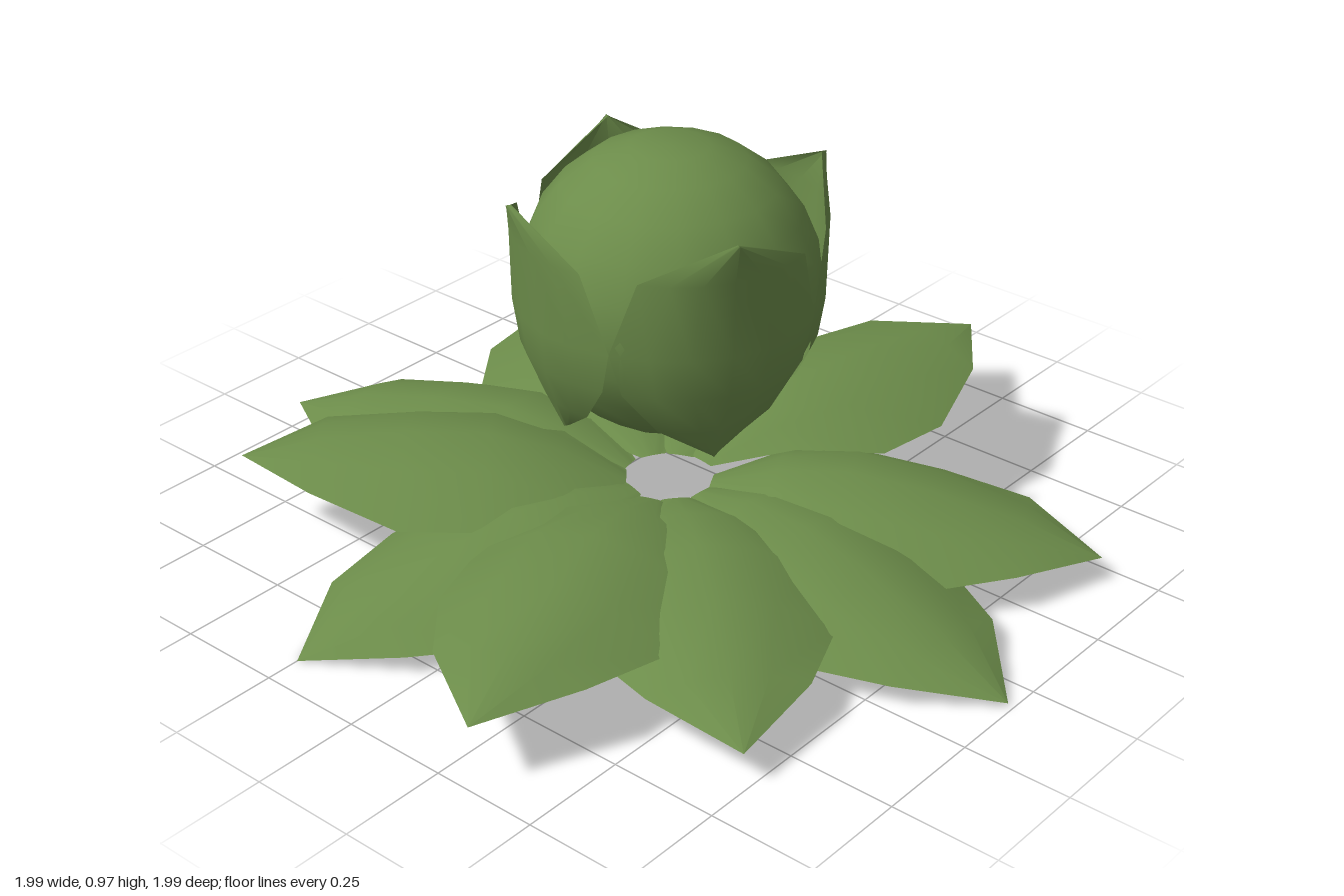
import * as THREE from 'three';

// Smooth open surface from rows of cross-sections; point(row, u) with u from -1 to 1
function sheet(rows, cols, point) {
  const pos = [], idx = [];
  rows.forEach((row) => {
    for (let j = 0; j <= cols; j++) pos.push(...point(row, (j / cols) * 2 - 1));
  });
  for (let i = 0; i < rows.length - 1; i++) {
    for (let j = 0; j < cols; j++) {
      const a = i * (cols + 1) + j, b = a + cols + 1;
      idx.push(a, a + 1, b, a + 1, b + 1, b);
    }
  }
  const g = new THREE.BufferGeometry();
  g.setAttribute('position', new THREE.Float32BufferAttribute(pos, 3));
  g.setIndex(idx);
  g.computeVertexNormals();
  return g;
}

export function createModel() {
  const group = new THREE.Group();
  const green = new THREE.MeshStandardMaterial({ color: 0x6c8c4a, side: THREE.DoubleSide });
  green.name = 'leafGreen';
  const add = (name, geometry, parent = group) => {
    const mesh = new THREE.Mesh(geometry, green);
    mesh.name = name;
    parent.add(mesh);
    return mesh;
  };

  // Spreading outer leaves: tip x, tip height, tip z
  const cx = -0.02, cz = 0.02;
  const tips = [
    [-0.22, 0.055, -1.0], [0.47, 0.06, -0.86], [0.87, 0.04, -0.39], [0.99, 0.18, 0.15],
    [0.45, 0.06, 0.88], [-0.08, 0.01, 0.99], [-0.64, 0.08, 0.74], [-1.0, 0.155, 0.34],
    [-0.92, 0.0, -0.25], [-0.64, 0.2, -0.72],
  ];
  // distance along the leaf, half width, midrib height
  const leafRows = [
    [0.1, 0.03, 0.15], [0.25, 0.15, 0.185], [0.42, 0.265, 0.19],
    [0.61, 0.265, 0.15], [0.82, 0.17, 0.085], [1, 0, 0],
  ];
  const outer = new THREE.Group();
  outer.name = 'outerLeaves';
  outer.position.set(cx, 0, cz);
  group.add(outer);
  tips.forEach(([x, tipY, z], i) => {
    const length = Math.hypot(x - cx, z - cz);
    const leaf = add('outerLeaf' + (i + 1), sheet(leafRows, 4, ([r, w, y], u) => [
      w * u,
      y + tipY * (r - 0.1) / 0.9 - 1.4 * (w * u) ** 2,
      r * length,
    ]), outer);
    leaf.rotation.y = Math.atan2(x - cx, z - cz);
  });

  // Round head with slightly flattened poles
  const head = new THREE.Group();
  head.name = 'head';
  head.position.set(-0.03, 0.655, 0.03);
  group.add(head);
  const ball = new THREE.SphereGeometry(0.335, 16, 12);
  const p = ball.attributes.position;
  for (let i = 0; i < p.count; i++) p.setY(i, THREE.MathUtils.clamp(p.getY(i), -0.32, 0.32));
  add('headBall', ball, head);

  // Four cupped leaves around the head: height, radius, half angle in degrees
  const wrapRows = [
    [-0.31, 0.25, 0], [-0.22, 0.29, 28], [-0.12, 0.33, 41],
    [-0.02, 0.345, 45], [0.155, 0.35, 34], [0.245, 0.37, 0],
  ];
  for (let i = 0; i < 4; i++) {
    const wrap = add('wrapLeaf' + (i + 1), sheet(wrapRows, 6, ([y, r, deg], u) => {
      const a = THREE.MathUtils.degToRad(deg * u);
      const rr = r - 0.012 * u * u;
      return [rr * Math.sin(a), y, rr * Math.cos(a)];
    }), head);
    wrap.rotation.y = THREE.MathUtils.degToRad(-27 + i * 90);
  }
  return group;
}
